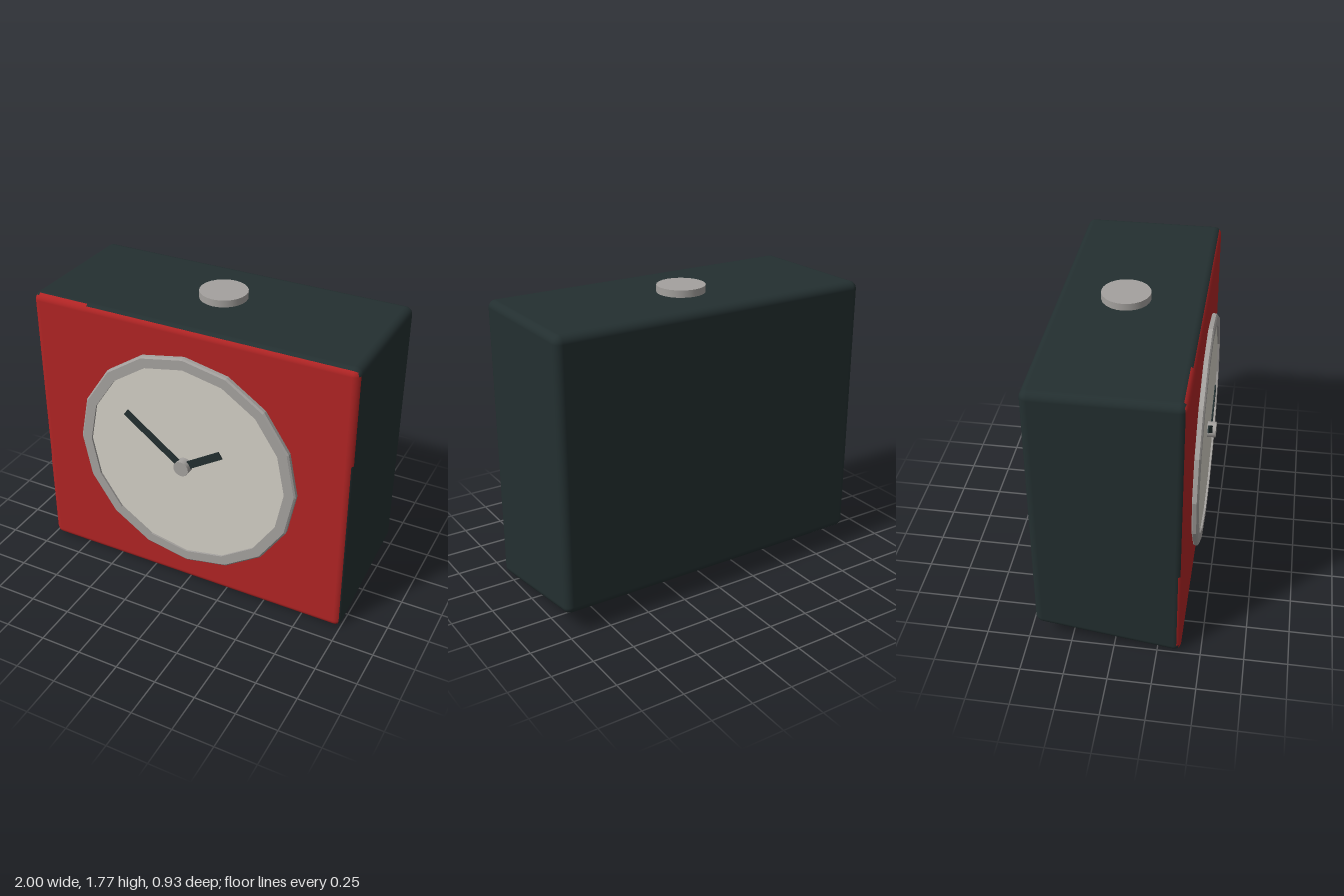
import * as THREE from 'three';
import { RoundedBoxGeometry } from 'three/addons/geometries/RoundedBoxGeometry.js';

const material = (name, color) => new THREE.MeshStandardMaterial({ name, color });

export function createModel() {
  const dark = material('dark casing', 0x232f30);
  const red = material('red front', 0xb02424);
  const metal = material('grey metal', 0xa4a19e);
  const cream = material('cream dial', 0xd2cec4);

  const clock = new THREE.Group();
  clock.name = 'clock';
  const add = (name, geometry, mat, x = 0, y = 0, z = 0) => {
    const mesh = new THREE.Mesh(geometry, mat);
    mesh.name = name;
    mesh.position.set(x, y, z);
    clock.add(mesh);
    return mesh;
  };

  // Casing: rounded box whose underside slopes up toward the back
  const H = 1.73, R = 0.045, front = 0.385, back = -0.46, slope = 0.15;
  const edgeZ = front - R;
  const box = new RoundedBoxGeometry(2, H, front - back, 4, R);
  box.translate(0, H / 2, (front + back) / 2);
  const pos = box.attributes.position, nor = box.attributes.normal;
  const n = new THREE.Vector3();
  for (let i = 0; i < pos.count; i++) {
    if (pos.getY(i) > H / 2) continue;
    pos.setY(i, Math.max(0, pos.getY(i) + slope * (edgeZ - pos.getZ(i))));
    n.fromBufferAttribute(nor, i);
    n.z += slope * n.y;
    n.normalize();
    nor.setXYZ(i, n.x, n.y, n.z);
  }
  add('casing', box, [dark, dark, dark, dark, red, dark]);

  // Red paint that wraps around parts of the rounded front edges
  const wrap = 1.12;
  const strip = (length, start) =>
    new THREE.CylinderGeometry(R + 0.002, R + 0.002, length, 5, 1, true, start, wrap);
  add('leftEdgePaint', strip(0.55, 0), red, 1 - R, 1.415, edgeZ);
  add('rightEdgePaint', strip(0.54, -wrap), red, R - 1, 0.32, edgeZ);
  add('topEdgePaint', strip(0.32, 0), red, -0.8, H - R, edgeZ).rotation.z = Math.PI / 2;

  // Sixteen-sided rim and dial
  const cy = 0.87;
  const rimProfile = [[0.63, 0.395], [0.69, 0.395], [0.7, 0.4], [0.7, 0.422], [0.69, 0.43], [0.63, 0.43], [0.63, 0.395]]
    .map(([r, z]) => new THREE.Vector2(r, z));
  const rim = new THREE.LatheGeometry(rimProfile, 16).toNonIndexed();
  rim.computeVertexNormals();
  rim.rotateX(Math.PI / 2);
  add('rim', rim, metal, 0, cy, 0);
  const dial = new THREE.CylinderGeometry(0.632, 0.632, 0.022, 16).rotateX(Math.PI / 2);
  add('dial', dial, cream, 0, cy, 0.407);

  // Hands, each turned about the centre pin
  const hand = (name, tipX, tipY, width, z) => {
    const length = Math.hypot(tipX, tipY);
    const bar = new THREE.BoxGeometry(length, width, 0.008).translate(length / 2, 0, 0);
    add(name, bar, dark, 0, cy, z).rotation.z = Math.atan2(tipY, tipX);
  };
  hand('hourHand', 0.24, 0.15, 0.047, 0.439);
  hand('minuteHand', -0.367, 0.27, 0.043, 0.446);
  add('centrePin', new THREE.CylinderGeometry(0.048, 0.048, 0.052, 16).rotateX(Math.PI / 2), metal, 0, cy, 0.444);

  // Button on top
  add('topButton', new THREE.CylinderGeometry(0.141, 0.141, 0.05, 24), metal, 0, 1.747, -0.07);

  return clock;
}
